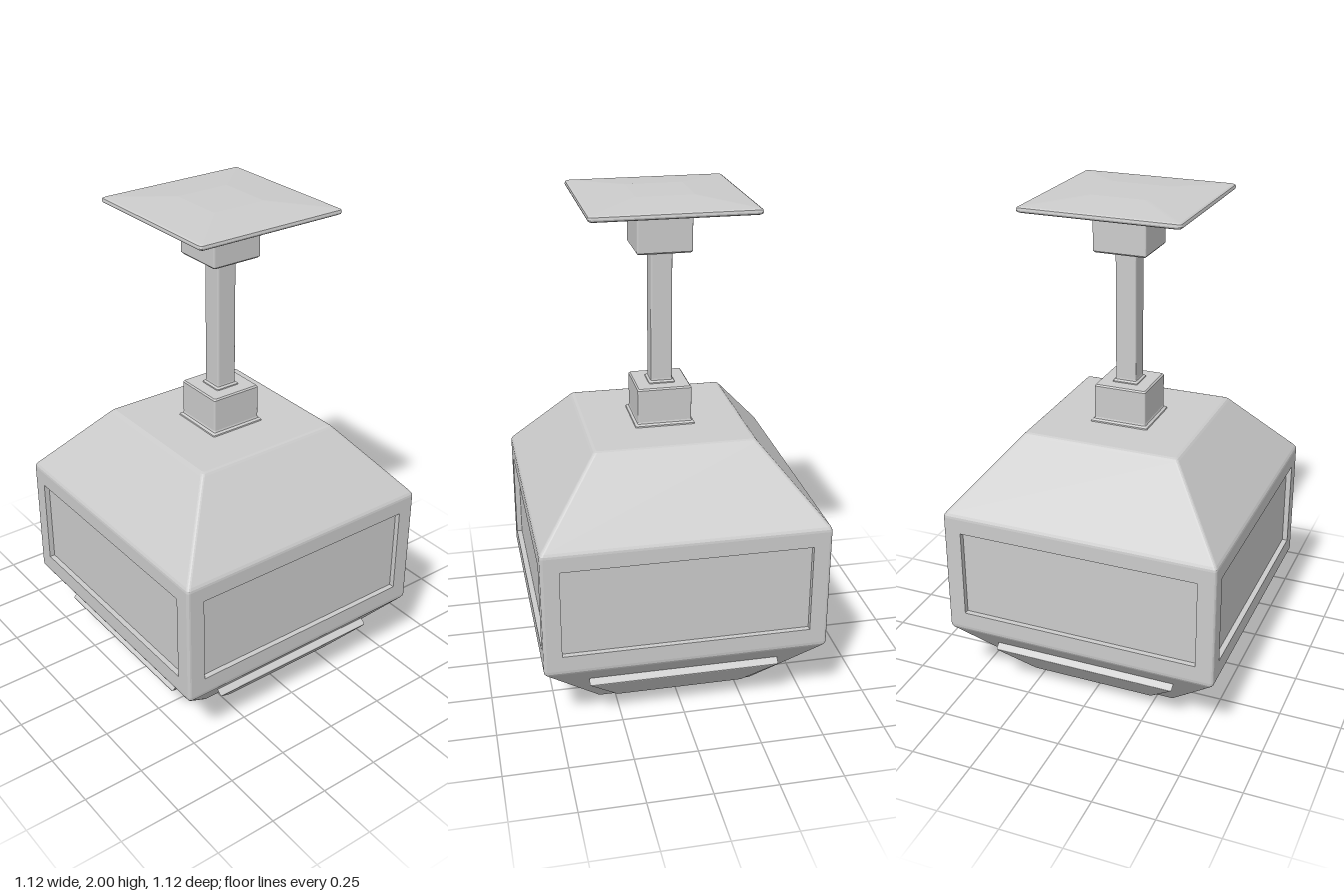
import * as THREE from 'three';

const grey = new THREE.MeshStandardMaterial({ color: 0xcccccc });

// Stacks rounded squares along a [halfSize, y] profile, bottom to top.
// skipBand leaves the four flat sides of that band open.
function squareLoft(profile, radius, skipBand = -1) {
  const steps = 3, ringSize = 4 * (steps + 1);
  const rings = profile.map(([s, y]) => {
    const r = Math.min(radius, s), ring = [];
    for (let k = 0; k < 4; k++) {
      const sx = k === 0 || k === 3 ? 1 : -1, sz = k < 2 ? -1 : 1;
      for (let i = 0; i <= steps; i++) {
        const a = (k + i / steps) * Math.PI / 2;
        ring.push(new THREE.Vector3(sx * (s - r) + r * Math.cos(a), y, sz * (s - r) - r * Math.sin(a)));
      }
    }
    return ring;
  });
  const pos = [];
  const tri = (a, b, c) => {
    if (a.distanceTo(b) < 1e-6 || b.distanceTo(c) < 1e-6 || c.distanceTo(a) < 1e-6) return;
    for (const p of [a, b, c]) pos.push(p.x, p.y, p.z);
  };
  for (let i = 0; i < rings.length - 1; i++) {
    for (let j = 0; j < ringSize; j++) {
      if (i === skipBand && j % (steps + 1) === steps) continue;
      const n = (j + 1) % ringSize;
      const a = rings[i][j], b = rings[i][n], c = rings[i + 1][n], d = rings[i + 1][j];
      tri(a, b, c);
      tri(a, c, d);
    }
  }
  const geo = new THREE.BufferGeometry();
  geo.setAttribute('position', new THREE.Float32BufferAttribute(pos, 3));
  geo.computeVertexNormals();
  return geo;
}

function add(parent, name, geometry) {
  const mesh = new THREE.Mesh(geometry, grey);
  mesh.name = name;
  parent.add(mesh);
  return mesh;
}

const polygon = (Type, pts) => new Type(pts.map(([x, y]) => new THREE.Vector2(x, y)));

export function createModel() {
  const model = new THREE.Group();
  model.name = 'hangingDisplay';

  // Housing: tapered bottom and top, softened edges, open sides for the walls
  add(model, 'housing', squareLoft([
    [0, 0], [0.31, 0], [0.321, 0.003], [0.327, 0.0085],
    [0.553, 0.2815], [0.5585, 0.291], [0.56, 0.302],
    [0.56, 0.79], [0.5585, 0.799], [0.553, 0.8085],
    [0.322, 1.08], [0.315, 1.087], [0.305, 1.09], [0, 1.09],
  ], 0.012, 6));

  // Four walls with recessed screens, and a raised panel on each lower slope
  const w = 0.548, hx = 0.488, y0 = 0.365, y1 = 0.73, recess = 0.022;
  const wallShape = polygon(THREE.Shape, [[-w, 0.302], [w, 0.302], [w, 0.79], [-w, 0.79]]);
  wallShape.holes.push(polygon(THREE.Path, [[-hx, y0], [-hx, y1], [hx, y1], [hx, y0]]));
  const wallGeo = new THREE.ExtrudeGeometry(wallShape, { depth: recess, bevelEnabled: false });
  const screenGeo = new THREE.PlaneGeometry(2 * hx, y1 - y0);
  const panelShape = polygon(THREE.Shape, [[-0.255, -0.08], [0.255, -0.08], [0.372, 0.08], [-0.372, 0.08]]);
  const panelGeo = new THREE.ExtrudeGeometry(panelShape, {
    depth: 0.045, bevelThickness: 0.006, bevelSize: 0.006, bevelSegments: 2,
  });
  for (let k = 0; k < 4; k++) {
    const side = new THREE.Group();
    side.name = 'side' + (k + 1);
    side.rotation.y = k * Math.PI / 2;
    add(side, 'wallFrame', wallGeo).position.z = 0.56 - recess;
    add(side, 'screen', screenGeo).position.set(0, (y0 + y1) / 2, 0.56 - recess);
    const panel = add(side, 'lowerPanel', panelGeo);
    panel.rotation.x = Math.atan2(0.24, 0.29);
    panel.position.set(0, 0.145 + 0.0127, 0.44 - 0.0154);
    model.add(side);
  }

  // Lower collar with a small foot flange
  add(model, 'lowerCollar', squareLoft([
    [0.12, 1.085], [0.118, 1.095], [0.109, 1.101], [0.107, 1.108],
    [0.107, 1.239], [0.102, 1.245], [0, 1.245],
  ], 0.006));

  // Square pole, flared where it meets the collars
  add(model, 'pole', squareLoft([
    [0.053, 1.24], [0.051, 1.249], [0.043, 1.255], [0.042, 1.262],
    [0.042, 1.76], [0.043, 1.768], [0.051, 1.774], [0.053, 1.785],
  ], 0.006));

  // Upper collar under the ceiling plate
  add(model, 'upperCollar', squareLoft([
    [0, 1.78], [0.102, 1.78], [0.107, 1.786], [0.107, 1.932],
    [0.109, 1.937], [0.118, 1.944], [0.118, 1.955],
  ], 0.006));

  // Shallow pyramidal ceiling plate
  add(model, 'ceilingPlate', squareLoft([
    [0, 1.942], [0.11, 1.942], [0.308, 1.961], [0.315, 1.965], [0.317, 1.971],
    [0.315, 1.98], [0.308, 1.984], [0.112, 2], [0, 2],
  ], 0.01));

  return model;
}
